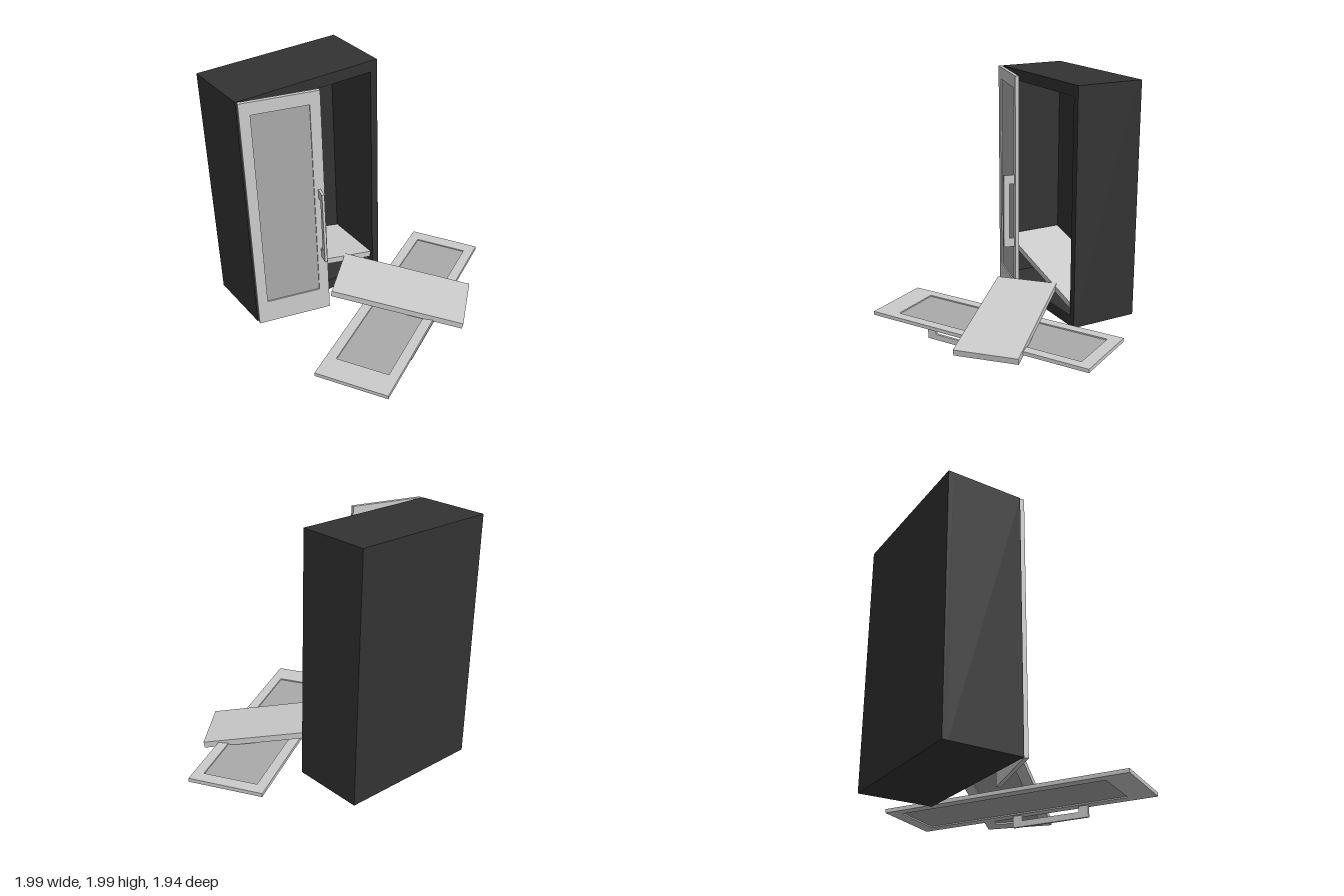
import * as THREE from 'three';

const grey = new THREE.MeshStandardMaterial({ color: 0xcccccc });
const panelGrey = new THREE.MeshStandardMaterial({ color: 0xaaaaaa });
const dark = new THREE.MeshStandardMaterial({ color: 0x333333 });

function add(parent, name, geometry, material = grey) {
  const mesh = new THREE.Mesh(geometry, material);
  mesh.name = name;
  parent.add(mesh);
  return mesh;
}

// Box given by its minimum and maximum corners
function box(x0, x1, y0, y1, z0, z1) {
  return new THREE.BoxGeometry(x1 - x0, y1 - y0, z1 - z0)
    .translate((x0 + x1) / 2, (y0 + y1) / 2, (z0 + z1) / 2);
}

// Rectangle (x0, x1, y0, y1) with a rectangular hole, extruded along +z
function ring([x0, x1, y0, y1], [a0, a1, b0, b1], depth) {
  const corners = (l, r, b, t) => [[l, b], [r, b], [r, t], [l, t]].map(p => new THREE.Vector2(...p));
  const shape = new THREE.Shape(corners(x0, x1, y0, y1));
  shape.holes.push(new THREE.Path(corners(a0, a1, b0, b1).reverse()));
  return new THREE.ExtrudeGeometry(shape, { depth, bevelEnabled: false });
}

// Framed door with its hinge at x = 0; side +1 extends to +x, -1 to -x
function makeDoor(name, side) {
  const W = 0.59, H = 1.96, T = 0.03;
  const door = new THREE.Group();
  door.name = name;
  const span = (a, b) => side > 0 ? [a, b] : [-b, -a];
  const inner = span(0.08, W - 0.08);
  add(door, 'doorFrame', ring([...span(0, W), 0, H], [...inner, 0.2, H - 0.1], T));
  add(door, 'doorPanel', box(...inner, 0.2, H - 0.1, 0.01, 0.02), panelGrey);

  // Handle: two posts and a grip
  const hx = span(0.54, 0.56), y0 = 0.525, y1 = 1.145;
  add(door, 'handleGrip', box(...hx, y0, y1, T + 0.043, T + 0.09));
  for (const y of [y0, y1 - 0.075])
    add(door, 'handlePost', box(...hx, y, y + 0.075, T, T + 0.043));
  return door;
}

// Shelf with its top at y = 0 and a shallow recess underneath
function makeShelf(name) {
  const L = 1.07 / 2, W = 0.51 / 2, m = 0.08;
  const shelf = new THREE.Group();
  shelf.name = name;
  add(shelf, 'shelfBoard', box(-L, L, -0.035, 0, -W, W));
  add(shelf, 'shelfRim', ring([-L, L, -W, W], [m - L, L - m, m - W, W - m], 0.015)
    .rotateX(Math.PI / 2).translate(0, -0.035, 0));
  add(shelf, 'shelfRecess', box(m - L, L - m, -0.037, -0.034, m - W, W - m), panelGrey);
  return shelf;
}

// Places a group by its axes and position
function place(group, x, y, z, position) {
  group.quaternion.setFromRotationMatrix(new THREE.Matrix4().makeBasis(x, y, z));
  group.position.set(...position);
}

export function createModel() {
  const model = new THREE.Group();
  model.name = 'brokenCabinet';

  // Cabinet body, open at the front
  const cabinet = new THREE.Group();
  cabinet.name = 'cabinet';
  add(cabinet, 'cabinetWalls', ring([-1, 0.2, 0.03, 1.99], [-0.94, 0.14, 0.12, 1.9], 0.54)
    .translate(0, 0, -0.93), dark);
  add(cabinet, 'cabinetBack', box(-1, 0.2, 0.03, 1.99, -0.97, -0.93), dark);
  model.add(cabinet);

  // Door still hanging, slightly ajar
  const hung = makeDoor('hangingDoor', 1);
  hung.position.set(-0.992, 0.03, -0.385);
  hung.rotation.y = -Math.PI / 12;
  model.add(hung);

  // Door fallen flat on its handle
  const fallen = makeDoor('fallenDoor', -1);
  const c = Math.cos(Math.PI / 6), s = 0.5;
  place(fallen, new THREE.Vector3(-s, 0, -c), new THREE.Vector3(c, 0, -s),
    new THREE.Vector3(0, -1, 0), [-1, 0.12, 0.455]);
  model.add(fallen);

  // Shelf tipped sideways inside the cabinet
  const inside = makeShelf('tippedShelf');
  inside.position.set(-0.39, 0.365, -0.65);
  inside.rotation.z = -Math.PI / 12;
  model.add(inside);

  // Shelf fallen out across the door
  const outside = makeShelf('fallenShelf');
  const along = new THREE.Vector3(0.725, -0.185, 0.762).normalize();
  const across = new THREE.Vector3(-0.762, 0, 0.725).normalize();
  place(outside, along, new THREE.Vector3().crossVectors(across, along), across, [0.0575, 0.2075, 0.1375]);
  model.add(outside);

  return model;
}
